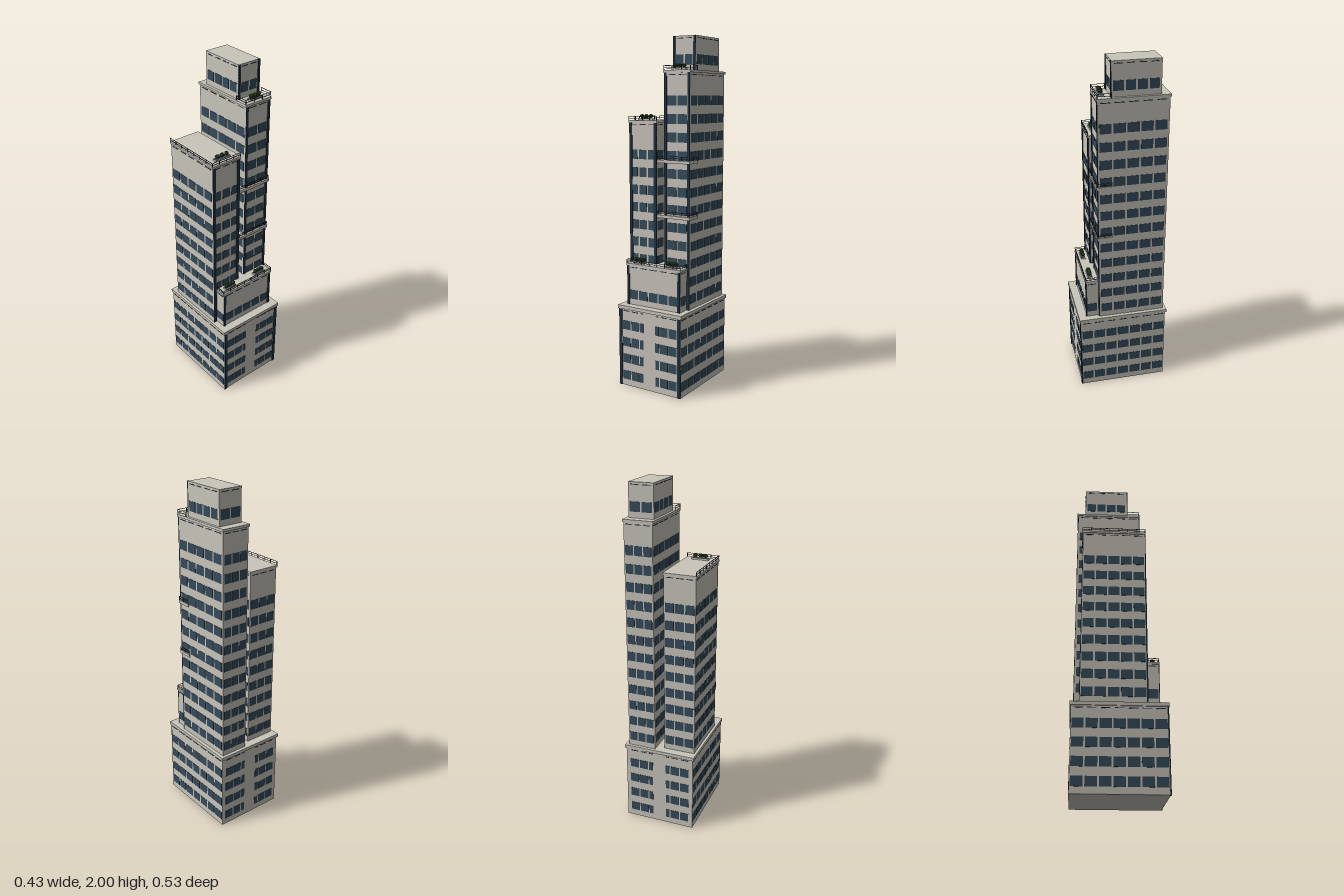
import * as THREE from 'three';
import { mergeGeometries } from 'three/addons/utils/BufferGeometryUtils.js';

const material = (name, color, flatShading = false) => {
  const m = new THREE.MeshStandardMaterial({ color, flatShading });
  m.name = name;
  return m;
};

// Box from its minimum and maximum corners
const boxGeo = (x0, x1, y0, y1, z0, z1) =>
  new THREE.BoxGeometry(x1 - x0, y1 - y0, z1 - z0)
    .translate((x0 + x1) / 2, (y0 + y1) / 2, (z0 + z1) / 2);

// Evenly spread columns as [centre, width]
const columns = (a, b, n, fill = 0.87) => {
  const step = (b - a) / n;
  return Array.from({ length: n }, (_, i) => [a + step * (i + 0.5), step * fill]);
};

// Window row heights, one storey apart
const STOREY = 0.1008;
const rows = (first, n) => Array.from({ length: n }, (_, i) => first + i * STOREY);

export function createModel() {
  const model = new THREE.Group();
  model.name = 'tower';
  const concrete = material('concrete', 0xc9c5bb);
  const glass = material('window glass', 0x354b5b);
  const trim = material('dark trim', 0x22323e);
  const leaf = material('foliage', 0x304a22, true);

  const add = (parent, name, geos, mat) => {
    const mesh = new THREE.Mesh(Array.isArray(geos) ? mergeGeometries(geos) : geos, mat);
    mesh.name = name;
    parent.add(mesh);
    return mesh;
  };

  // Thin plate on a wall of block b; u runs along x or z
  const plate = (b, side, u, y, w, h, t = 0.003) => {
    const [x0, x1, , , z0, z1] = b;
    const alongX = side === 'front' || side === 'back';
    const g = new THREE.BoxGeometry(alongX ? w : t, h, alongX ? t : w);
    if (side === 'front') return g.translate(u, y, z1);
    if (side === 'back') return g.translate(u, y, z0);
    return g.translate(side === 'left' ? x1 : x0, y, u);
  };

  // Block with cap, windows, roof slots and dark strips on its front corners
  function block({ name, b, cap, capHeight, heights, sides, strip }) {
    const g = new THREE.Group();
    g.name = name;
    model.add(g);
    add(g, name + 'Walls', boxGeo(...b), concrete);
    if (cap) add(g, name + 'Cap', boxGeo(cap[0], cap[1], b[3] - 0.002, b[3] + capHeight, cap[2], cap[3]), concrete);
    for (const [side, cols] of Object.entries(sides)) {
      const panes = [], slots = [];
      for (const [u, w] of cols) {
        for (const y of heights) panes.push(plate(b, side, u, y, w, 0.053));
        slots.push(plate(b, side, u, b[3] - 0.013, w * 0.8, 0.004));
      }
      add(g, name + 'Windows', panes, glass);
      add(g, name + 'Slots', slots, trim);
    }
    if (strip) {
      const y = (b[2] + b[3]) / 2, h = b[3] - b[2];
      add(g, name + 'CornerStrips', [b[0] + strip / 2, b[1] - strip / 2]
        .map((x) => plate(b, 'front', x, y, strip, h, 0.008)), trim);
    }
  }

  // Podium, with a blank bay in the middle of front and back
  const half = [[0.157, 0.053], [0.098, 0.053], [0.053, 0.024]];
  const split = [...half, ...half.map(([u, w]) => [-u, w])];
  const podiumSide = columns(-0.255, 0.255, 7);
  block({
    name: 'podium', b: [-0.208, 0.208, 0, 0.464, -0.256, 0.256],
    cap: [-0.215, 0.215, -0.263, 0.263], capHeight: 0.018, heights: rows(0.064, 4),
    sides: { front: split, back: split, left: podiumSide, right: podiumSide }, strip: 0.02,
  });

  // Low front block
  block({
    name: 'frontBlock', b: [-0.178, 0.178, 0.48, 0.715, 0.06, 0.214],
    cap: [-0.183, 0.183, 0.06, 0.219], capHeight: 0.01, heights: [0.542],
    sides: { front: columns(-0.168, 0.168, 5), left: [[0.182, 0.056]], right: [[0.182, 0.056]] }, strip: 0.015,
  });

  // Shorter tower
  const shortSide = columns(-0.21, 0.147, 5);
  block({
    name: 'shortTower', b: [-0.2, -0.017, 0.48, 1.53, -0.213, 0.15],
    cap: [-0.205, -0.012, -0.217, 0.155], capHeight: 0.01, heights: rows(0.542, 9),
    sides: {
      front: [[-0.163, 0.036], [-0.109, 0.05], [-0.052, 0.044]],
      back: columns(-0.196, -0.021, 3), left: shortSide, right: shortSide,
    }, strip: 0.018,
  });

  // Tall tower
  const tallSide = columns(-0.238, 0.135, 5);
  block({
    name: 'tallTower', b: [0.03, 0.194, 0.48, 1.802, -0.245, 0.139],
    cap: [0.025, 0.199, -0.25, 0.144], capHeight: 0.012, heights: rows(0.542, 12),
    sides: {
      front: columns(0.044, 0.18, 2), back: columns(0.034, 0.19, 3), left: tallSide, right: tallSide,
    }, strip: 0.015,
  });

  // Rooftop storey
  const topSide = columns(-0.193, 0.057, 4, 0.83);
  block({
    name: 'penthouse', b: [0.04, 0.183, 1.81, 2, -0.2, 0.064], heights: [1.873],
    sides: {
      front: columns(0.054, 0.17, 2, 0.8), back: columns(0.045, 0.18, 2), left: topSide, right: topSide,
    }, strip: 0.013,
  });

  // Railing along a path of [x, z] corners standing at height y
  function railing(name, y, path, h = 0.026) {
    const parts = [], t = 0.0015;
    for (let i = 1; i < path.length; i++) {
      const [ax, az] = path[i - 1], [bx, bz] = path[i];
      const x0 = Math.min(ax, bx), x1 = Math.max(ax, bx), z0 = Math.min(az, bz), z1 = Math.max(az, bz);
      for (const yy of [y + h, y + h * 0.5])
        parts.push(boxGeo(x0 - t, x1 + t, yy - 0.002, yy, z0 - t, z1 + t));
      const n = Math.max(1, Math.round(Math.hypot(bx - ax, bz - az) / 0.05));
      for (let k = 0; k <= n; k++) {
        const x = ax + (bx - ax) * k / n, z = az + (bz - az) * k / n;
        parts.push(boxGeo(x - t, x + t, y, y + h, z - t, z + t));
      }
    }
    add(model, name, parts, trim);
  }

  // Sky terraces linking the two towers
  for (const y of [0.995, 1.306]) {
    add(model, 'skyTerrace', boxGeo(-0.014, 0.199, y, y + 0.017, 0.062, 0.15), concrete);
    railing('terraceRailing', y + 0.017, [[-0.012, 0.147], [0.197, 0.147], [0.197, 0.064]], 0.022);
  }
  railing('shortTowerRailing', 1.54, [[-0.203, -0.215], [-0.203, 0.153], [-0.014, 0.153]], 0.022);
  railing('tallTowerRailing', 1.814, [[0.027, 0.066], [0.027, 0.14], [0.197, 0.14], [0.197, 0.066]]);
  railing('frontBlockRailing', 0.725, [[-0.181, 0.157], [-0.181, 0.216], [0.181, 0.216], [0.181, 0.15]], 0.022);

  // Planters with three faceted shrubs each
  function planter(x0, x1, y, z) {
    const g = new THREE.Group();
    g.name = 'planter';
    model.add(g);
    const d = 0.0125, r = 0.002, top = y + 0.011;
    add(g, 'planterRim', [
      boxGeo(x0, x1, y, top, z - d, z - d + r), boxGeo(x0, x1, y, top, z + d - r, z + d),
      boxGeo(x0, x0 + r, y, top, z - d, z + d), boxGeo(x1 - r, x1, y, top, z - d, z + d),
    ], concrete);
    add(g, 'planterBed', boxGeo(x0 + r, x1 - r, y, y + 0.008, z - d + r, z + d - r), glass);
    for (let i = 0; i < 3; i++) {
      const shrub = add(g, 'shrub', new THREE.IcosahedronGeometry(0.0145, 0), leaf);
      shrub.scale.set(1.05, 0.8, 0.95);
      shrub.rotation.y = i * 1.3 + x0 * 9;
      shrub.position.set((x0 + x1) / 2 + (i - 1) * (x1 - x0) * 0.31, y + 0.024, z);
    }
  }
  planter(-0.157, -0.059, 1.54, 0.113);
  planter(0.072, 0.153, 1.814, 0.111);
  planter(-0.148, -0.072, 0.725, 0.185);
  planter(0.072, 0.148, 0.725, 0.185);

  return model;
}
